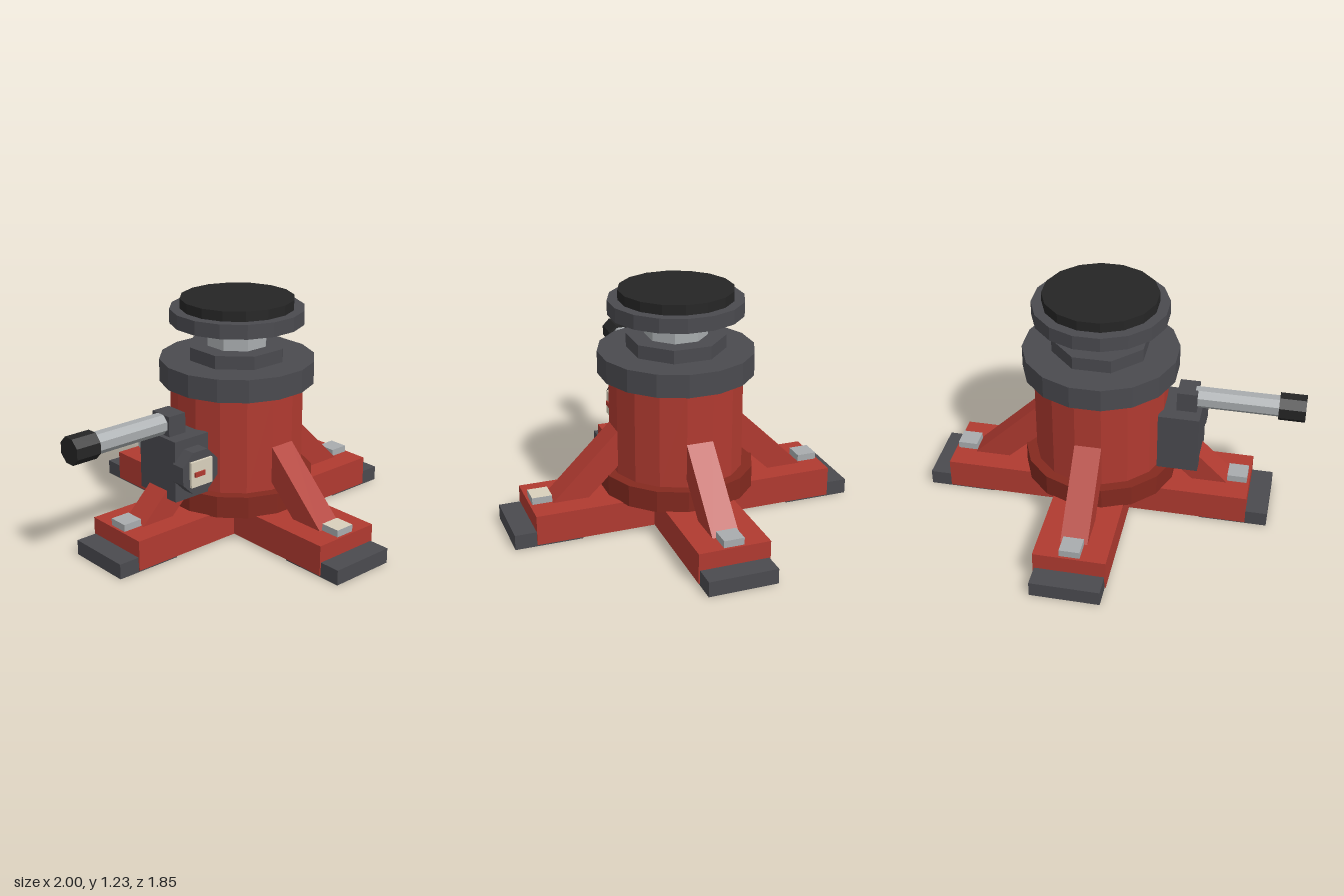
import * as THREE from 'three';

const mat = (name, color) => {
  const m = new THREE.MeshStandardMaterial({ color, flatShading: true });
  m.name = name;
  return m;
};

export function createModel() {
  const red = mat('red paint', 0xb03a30);
  const darkRed = mat('dark red paint', 0x84291f);
  const iron = mat('dark iron', 0x4a4a4f);
  const rubber = mat('black rubber', 0x252525);
  const steel = mat('steel', 0xa8acae);
  const cream = mat('cream', 0xd8d0bc);

  const model = new THREE.Group();
  model.name = 'screwJack';
  const jack = new THREE.Group();
  jack.name = 'jackBody';
  jack.position.x = 0.07;
  model.add(jack);

  const add = (parent, name, geo, material, x = 0, y = 0, z = 0) => {
    const mesh = new THREE.Mesh(geo, material);
    mesh.name = name;
    mesh.position.set(x, y, z);
    parent.add(mesh);
    return mesh;
  };
  // Box given by its minimum and maximum corners
  const box = (parent, name, material, [x0, y0, z0], [x1, y1, z1]) =>
    add(parent, name, new THREE.BoxGeometry(x1 - x0, y1 - y0, z1 - z0), material,
      (x0 + x1) / 2, (y0 + y1) / 2, (z0 + z1) / 2);
  // Upright prism whose flats face the axes, sized by its half width across flats
  const prism = (half, h, sides) =>
    new THREE.CylinderGeometry(half / Math.cos(Math.PI / sides), half / Math.cos(Math.PI / sides), h, sides)
      .rotateY(Math.PI / sides);

  // Cross-shaped base
  const L = 0.813, W = 0.187;
  const cross = new THREE.Shape([
    [L, -W], [L, W], [W, W], [W, L], [-W, L], [-W, W],
    [-L, W], [-L, -W], [-W, -W], [-W, -L], [W, -L], [W, -W],
  ].map(([x, y]) => new THREE.Vector2(x, y)));
  add(jack, 'crossBase', new THREE.ExtrudeGeometry(cross, { depth: 0.16, bevelEnabled: false })
    .rotateX(-Math.PI / 2), red, 0, 0.01, 0);

  // Foot, bolt and diagonal brace on each of the four arms
  const braceShape = new THREE.Shape([
    [0.70, 0.165], [0.34, 0.52], [0.30, 0.52], [0.30, 0.365], [0.51, 0.165],
  ].map(([x, y]) => new THREE.Vector2(x, y)));
  const braceGeo = new THREE.ExtrudeGeometry(braceShape, { depth: 0.14, bevelEnabled: false })
    .translate(0, 0, -0.07);
  ['left', 'back', 'right', 'front'].forEach((side, i) => {
    const arm = new THREE.Group();
    arm.name = side + 'Arm';
    arm.rotation.y = i * Math.PI / 2;
    jack.add(arm);
    box(arm, 'foot', iron, [0.57, 0, -0.18], [0.926, 0.08, 0.18]);
    // The front bolt has a cream top face
    const boltMat = side === 'front' ? [steel, steel, cream, steel, steel, steel] : steel;
    box(arm, 'bolt', boltMat, [0.695, 0.165, -0.053], [0.80, 0.207, 0.053]);
    add(arm, 'brace', braceGeo, red);
  });

  // Round column: name, half width, bottom, top, sides, material
  [
    ['lowerFlange', 0.40, 0.165, 0.28, 16, darkRed],
    ['column', 0.345, 0.27, 0.80, 16, red],
    ['upperCollar', 0.40, 0.79, 0.91, 16, iron],
    ['lockNut', 0.238, 0.905, 0.98, 8, iron],
    ['piston', 0.15, 0.97, 1.105, 8, steel],
    ['headPlate', 0.345, 1.10, 1.175, 16, iron],
    ['topPad', 0.292, 1.17, 1.227, 16, rubber],
  ].forEach(([name, half, y0, y1, sides, material]) =>
    add(jack, name, prism(half, y1 - y0, sides), material, 0, (y0 + y1) / 2, 0));

  // Gearbox on the right with its crank handle
  const drive = new THREE.Group();
  drive.name = 'drive';
  model.add(drive);
  box(drive, 'gearbox', iron, [-0.47, 0.28, -0.14], [-0.255, 0.605, 0.14]);
  box(drive, 'handleSocket', iron, [-0.445, 0.60, -0.066], [-0.34, 0.712, 0.066]);
  add(drive, 'handle', prism(0.052, 0.44, 8).rotateZ(Math.PI / 2), steel, -0.65, 0.66, 0);
  add(drive, 'grip', prism(0.067, 0.137, 8).rotateZ(Math.PI / 2), rubber, -0.9315, 0.66, 0);

  // Dial on the front of the gearbox
  add(drive, 'dialHousing', prism(0.112, 0.08, 8).rotateX(Math.PI / 2), iron, -0.365, 0.443, 0.17);
  box(drive, 'dialFace', cream, [-0.435, 0.375, 0.205], [-0.297, 0.51, 0.225]);
  box(drive, 'dialMark', red, [-0.415, 0.43, 0.224], [-0.35, 0.455, 0.233]);

  return model;
}
